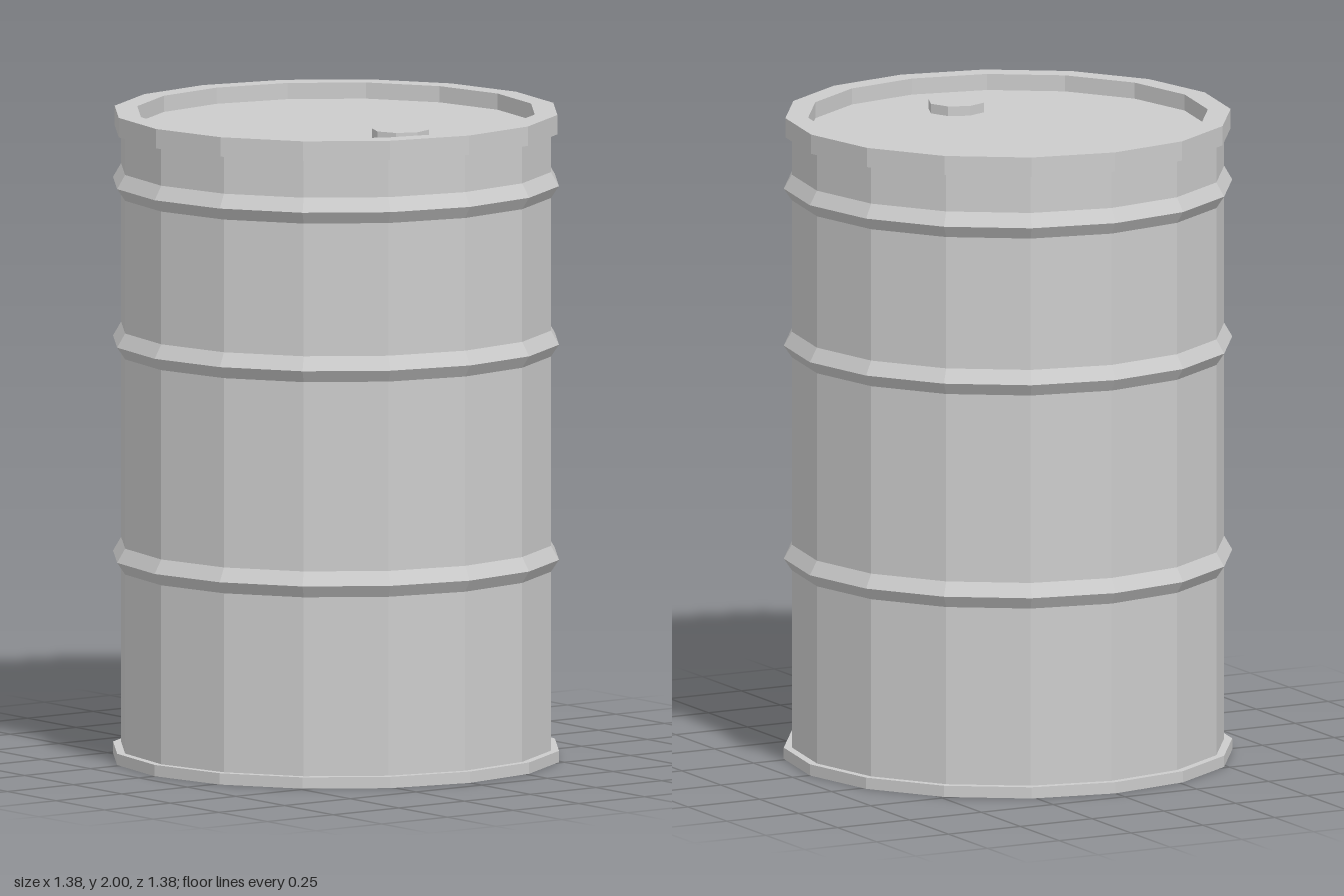
import * as THREE from 'three';

const SIDES = 16;
const BODY_R = 0.665;

export function createModel() {
  const drum = new THREE.Group();
  drum.name = 'drum';
  const material = new THREE.MeshStandardMaterial({ color: 0xcccccc, flatShading: true });

  const add = (name, geometry) => {
    const mesh = new THREE.Mesh(geometry, material);
    mesh.name = name;
    drum.add(mesh);
    return mesh;
  };
  const lathe = (points) =>
    new THREE.LatheGeometry(points.map(([r, y]) => new THREE.Vector2(r, y)), SIDES);

  // Wall with three pressed hoops, each a sharp ridge
  const wall = [[BODY_R, 0.035]];
  for (const y of [0.625, 1.29, 1.78]) {
    wall.push([BODY_R, y - 0.037], [0.69, y], [BODY_R, y + 0.043]);
  }
  wall.push([BODY_R, 1.94]);
  add('wall', lathe(wall));

  // Bottom: recessed base and the chime around it
  add('base', lathe([[0, 0.02], [0.63, 0.02]]));
  add('bottomRim', lathe([[0.63, 0.02], [0.63, 0], [0.69, 0], [0.69, 0.035], [BODY_R, 0.035]]));

  // Top: raised rim around a sunken lid
  add('topRim', lathe([[BODY_R, 1.94], [0.685, 1.94], [0.685, 2], [0.615, 2], [0.615, 1.95]]));
  add('lid', lathe([[0.615, 1.95], [0, 1.95]]));

  // Filler plug on the lid
  const plug = add('plug', new THREE.CylinderGeometry(0.088, 0.088, 0.03, 8));
  plug.position.set(0.332, 1.965, 0);

  return drum;
}
